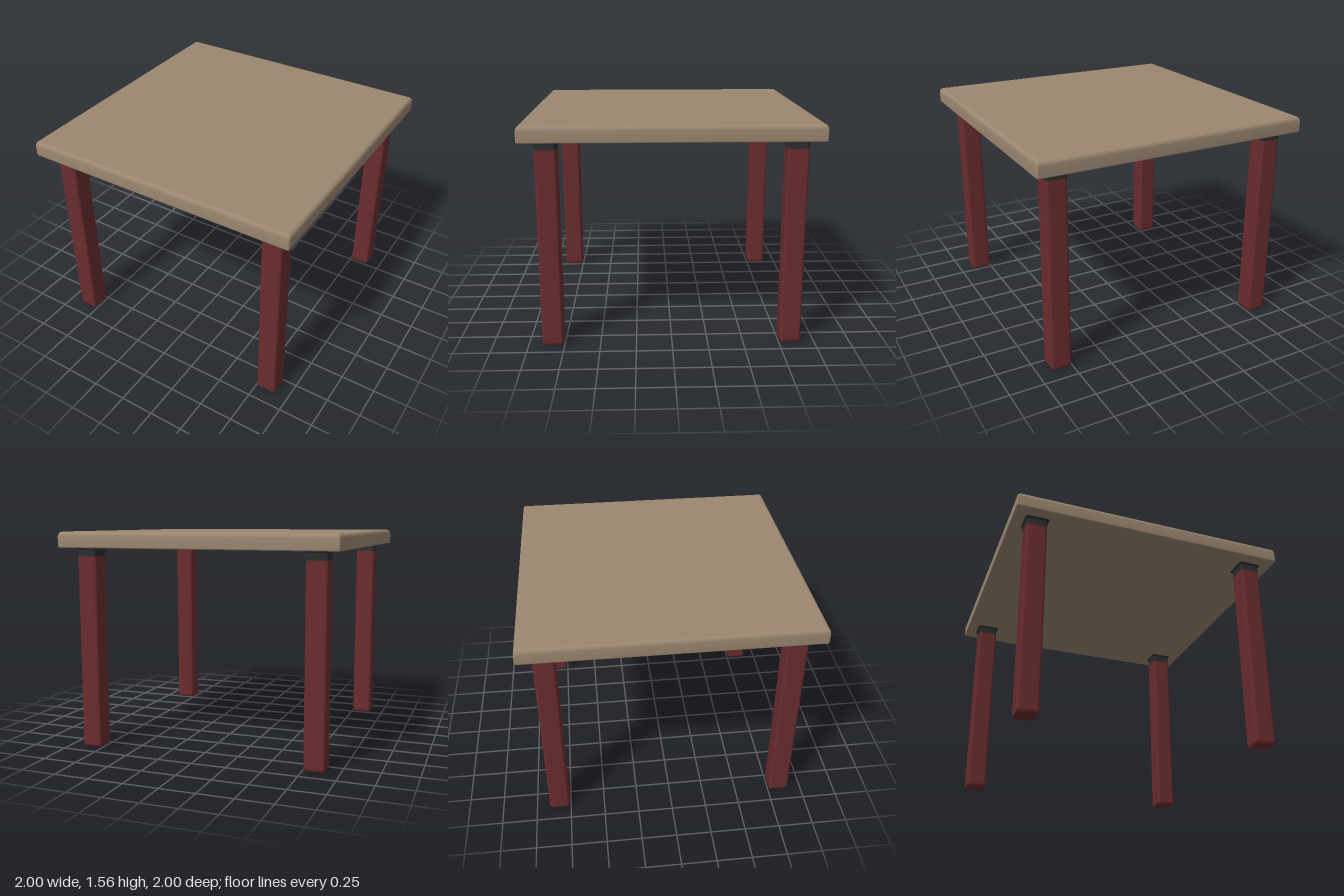
import * as THREE from 'three';

// Square column with rounded corners, lofted through rows of [half width, y, corner radius]
function squareLoft(rows, capBottom = true, capTop = true) {
  const arc = 4, n = arc * 4 + 4;
  const pos = [], index = [];
  for (const [half, y, r] of rows) {
    for (let c = 0; c < 4; c++) {
      const mid = (c + 0.5) * Math.PI / 2;
      const cx = Math.sign(Math.cos(mid)) * (half - r);
      const cz = Math.sign(Math.sin(mid)) * (half - r);
      for (let i = 0; i <= arc; i++) {
        const a = (c + i / arc) * Math.PI / 2;
        pos.push(cx + r * Math.cos(a), y, cz + r * Math.sin(a));
      }
    }
  }
  for (let k = 0; k < rows.length - 1; k++) {
    for (let i = 0; i < n; i++) {
      const a = k * n + i, b = k * n + (i + 1) % n;
      index.push(a, a + n, b, b, a + n, b + n);
    }
  }
  const last = (rows.length - 1) * n;
  const bottom = pos.length / 3, top = bottom + 1;
  pos.push(0, rows[0][1], 0, 0, rows[rows.length - 1][1], 0);
  for (let i = 0; i < n; i++) {
    const j = (i + 1) % n;
    if (capBottom) index.push(bottom, i, j);
    if (capTop) index.push(top, last + j, last + i);
  }
  const geo = new THREE.BufferGeometry();
  geo.setAttribute('position', new THREE.Float32BufferAttribute(pos, 3));
  geo.setIndex(index);
  geo.computeVertexNormals();
  return geo;
}

export function createModel() {
  const material = (name, color) => Object.assign(new THREE.MeshStandardMaterial({ color }), { name });
  const wood = material('tan wood', 0x9b8770);
  const red = material('dark red', 0x6a2c2e);
  const black = material('charcoal', 0x2b2e2f);

  const table = new THREE.Group();
  table.name = 'table';
  const add = (parent, name, geo, mat) => {
    const mesh = new THREE.Mesh(geo, mat);
    mesh.name = name;
    parent.add(mesh);
  };

  // Top board: small round below, wider soft round above
  add(table, 'tableTop', squareLoft([
    [0.991, 1.445, 0.006], [0.997, 1.448, 0.01], [1, 1.455, 0.012],
    [1, 1.525, 0.012], [0.996, 1.541, 0.012], [0.987, 1.553, 0.01], [0.972, 1.558, 0.006],
  ]), wood);

  // Leg with softened foot, and a collar flaring out under the board
  const legGeo = squareLoft([
    [0.058, 0, 0.014], [0.067, 0.004, 0.018], [0.073, 0.016, 0.02], [0.0735, 0.03, 0.02], [0.0735, 1.385, 0.02],
  ], true, false);
  const collarGeo = squareLoft([
    [0.0735, 1.385, 0.02], [0.0735, 1.43, 0.02], [0.077, 1.438, 0.02], [0.086, 1.446, 0.02],
  ], false, false);
  for (const [x, side] of [[1, 'Left'], [-1, 'Right']]) {
    for (const [z, end] of [[1, 'front'], [-1, 'back']]) {
      const leg = new THREE.Group();
      leg.name = end + side + 'Leg';
      leg.position.set(x * 0.83, 0, z * 0.83);
      add(leg, 'legPost', legGeo, red);
      add(leg, 'legCollar', collarGeo, black);
      table.add(leg);
    }
  }
  return table;
}
